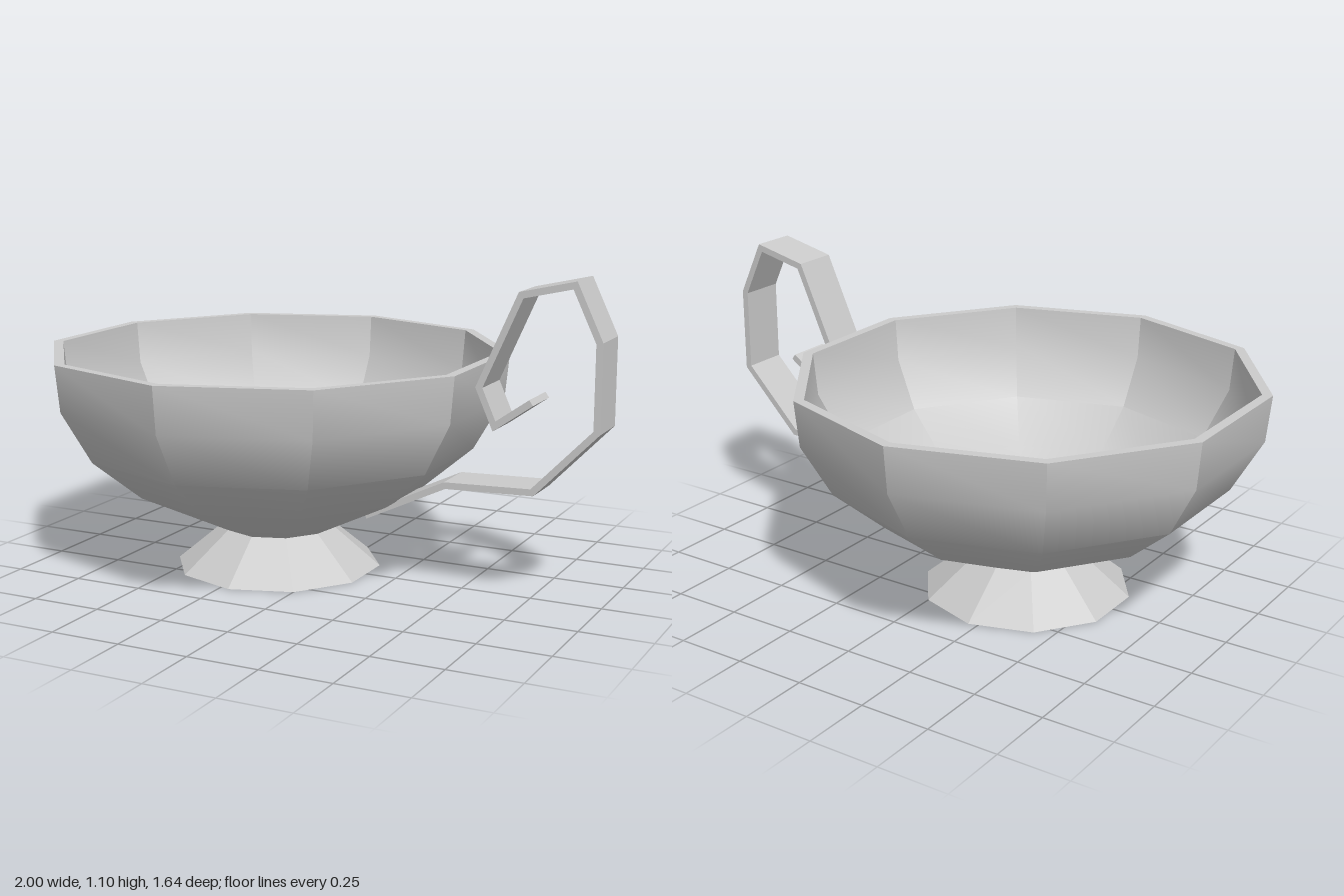
import * as THREE from 'three';
import { toCreasedNormals } from 'three/addons/utils/BufferGeometryUtils.js';

const SIDES = 10;
const CENTRE_X = -0.217;
const vec = ([x, y]) => new THREE.Vector2(x, y);

// Outline of a bent strip: the path offset to both sides with mitred corners
function stripShape(path, thickness) {
  const pts = path.map(vec);
  const normal = (a, b) => new THREE.Vector2(a.y - b.y, b.x - a.x).normalize();
  const left = [], right = [];
  pts.forEach((p, i) => {
    const n0 = normal(pts[Math.max(i - 1, 0)], pts[Math.max(i, 1)]);
    const last = pts.length - 1;
    const n1 = normal(pts[Math.min(i, last - 1)], pts[Math.min(i + 1, last)]);
    const miter = n0.clone().add(n1).normalize();
    const d = thickness / 2 / miter.dot(n1);
    left.push(p.clone().addScaledVector(miter, d));
    right.unshift(p.clone().addScaledVector(miter, -d));
  });
  return new THREE.Shape([...left, ...right]);
}

export function createModel() {
  const group = new THREE.Group();
  const smooth = new THREE.MeshStandardMaterial({ color: 0xcccccc, side: THREE.DoubleSide });
  const flat = new THREE.MeshStandardMaterial({ color: 0xcccccc, flatShading: true });

  const add = (name, geometry, material) => {
    const mesh = new THREE.Mesh(geometry, material);
    mesh.name = name;
    group.add(mesh);
    return mesh;
  };

  // Bowl: outer wall up to the rim, then the inner wall down to the floor
  const profile = [
    [0.2, 0.143], [0.525, 0.3], [0.7, 0.445], [0.806, 0.63], [0.822, 0.793],
    [0.786, 0.793], [0.772, 0.64], [0.674, 0.47], [0.508, 0.332], [0.17, 0.175], [0, 0.175],
  ].map(vec);
  const bowl = add('bowl',
    toCreasedNormals(new THREE.LatheGeometry(profile, SIDES), THREE.MathUtils.degToRad(30)), smooth);
  bowl.position.x = CENTRE_X;

  // Flared foot
  const foot = add('foot', new THREE.CylinderGeometry(0.2, 0.37, 0.143, SIDES), flat);
  foot.position.set(CENTRE_X, 0.0715, 0);

  // Curled strip handle
  const handlePath = [
    [0.17, 0.24], [0.465, 0.381], [0.775, 0.392], [0.989, 0.613], [0.989, 0.904],
    [0.903, 1.085], [0.722, 1.043], [0.582, 0.728], [0.638, 0.602], [0.765, 0.692],
  ];
  const width = 0.16;
  const handle = add('handle', new THREE.ExtrudeGeometry(stripShape(handlePath, 0.023),
    { depth: width, bevelEnabled: false }), flat);
  handle.position.z = 0.005 - width / 2;

  return group;
}
